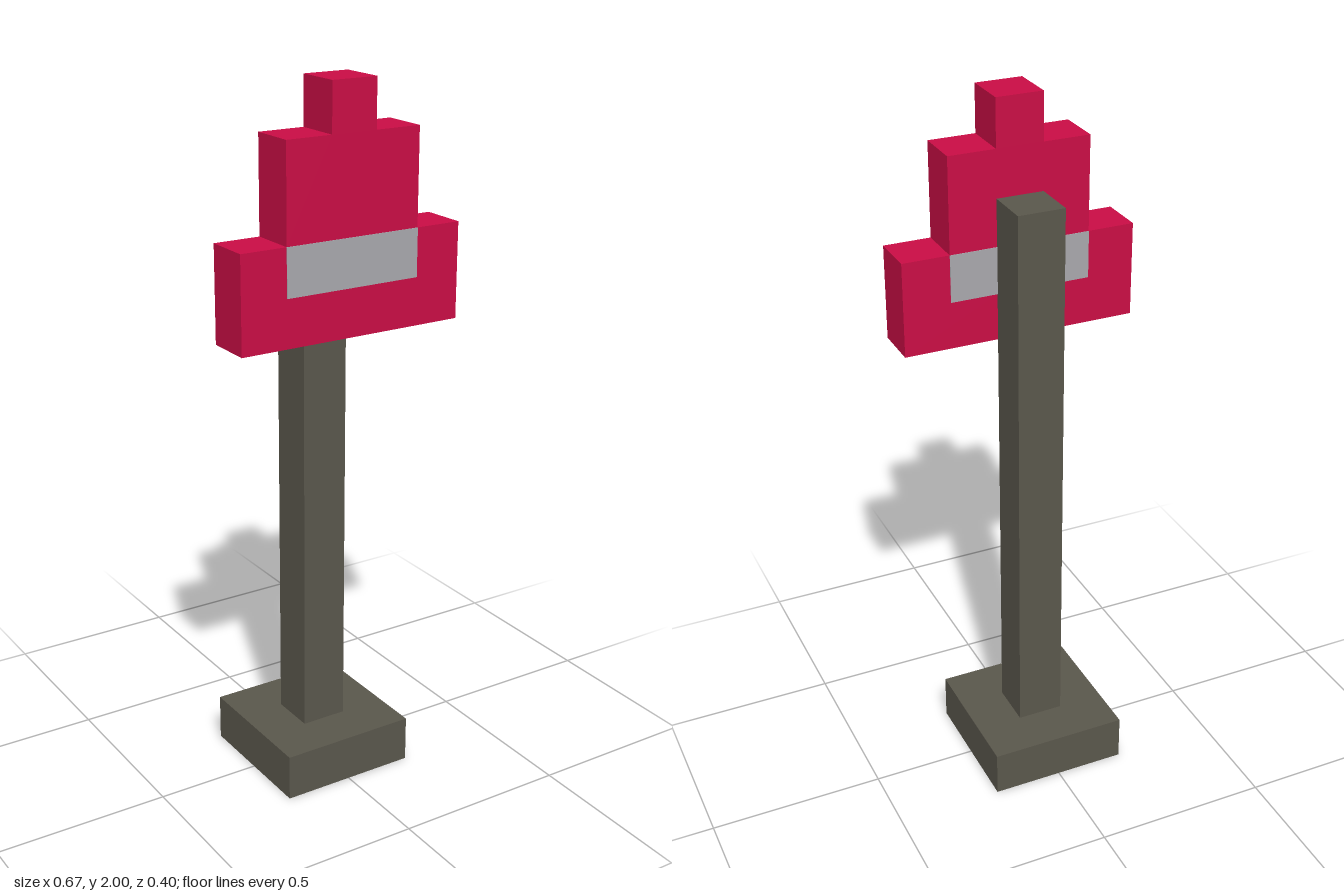
import * as THREE from 'three';

const U = 1 / 15; // block unit shared by every part

export function createModel() {
  const group = new THREE.Group();
  const postGrey = new THREE.MeshStandardMaterial({ color: 0x5a574c });
  const signRed = new THREE.MeshStandardMaterial({ color: 0xca0d45 });
  const bandGrey = new THREE.MeshStandardMaterial({ color: 0xa9a8ad });
  postGrey.name = 'postGrey';
  signRed.name = 'signRed';
  bandGrey.name = 'bandGrey';

  const add = (name, geometry, material, x, y, z) => {
    const mesh = new THREE.Mesh(geometry, material);
    mesh.name = name;
    mesh.position.set(x, y, z);
    group.add(mesh);
  };

  // Square foot and post
  add('base', new THREE.BoxGeometry(6 * U, 2 * U, 6 * U), postGrey, 0, U, 0);
  add('post', new THREE.BoxGeometry(2 * U, 24 * U, 2 * U), postGrey, 0, 14 * U, 0);

  // Stepped sign board: half outline mirrored, then extruded
  const half = [[5, 20], [5, 24], [3, 24], [3, 28], [1, 28], [1, 30]];
  const outline = [...half, ...half.map(([x, y]) => [-x, y]).reverse()];
  const shape = new THREE.Shape(outline.map(([x, y]) => new THREE.Vector2(x * U, y * U)));
  const board = new THREE.ExtrudeGeometry(shape, { depth: 2 * U, bevelEnabled: false });
  add('signBoard', board, signRed, 0, 0, U);

  // Painted band on both faces of the board
  const thick = 0.004;
  for (const [name, z] of [['frontBand', 3 * U], ['backBand', U]]) {
    add(name, new THREE.BoxGeometry(6 * U, 2 * U, thick), bandGrey, 0, 23 * U, z);
  }

  return group;
}
